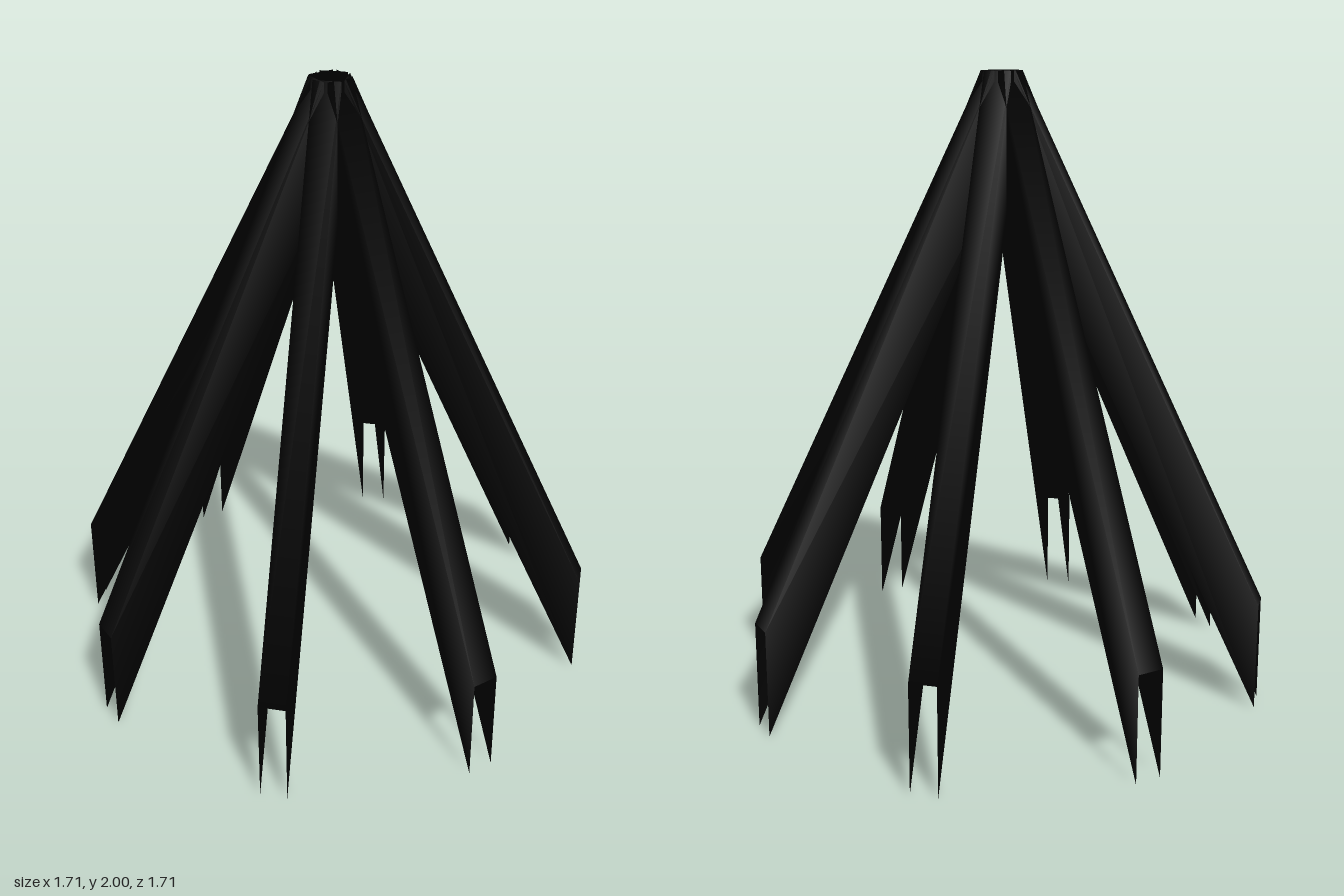
import * as THREE from 'three';

const ARMS = 8;
const HALF_WIDTH = 0.0425;
const DEPTH = 0.345; // vertical height of the side webs
const INNER = { r: 0.05, y: 2 };
const OUTER = { r: 0.853, y: DEPTH };

// Sloping sheet folded into an upside-down U: side web, top plate, side web.
function channelGeometry() {
  const geometry = new THREE.PlaneGeometry(1, 1, 3, 1);
  const pos = geometry.attributes.position;
  for (let i = 0; i < pos.count; i++) {
    const column = i % 4;
    const end = i < 4 ? INNER : OUTER;
    const x = column < 2 ? -HALF_WIDTH : HALF_WIDTH;
    const drop = column === 0 || column === 3 ? DEPTH : 0;
    pos.setXYZ(i, x, end.y - drop, end.r);
  }
  geometry.computeVertexNormals();
  return geometry;
}

export function createModel() {
  const model = new THREE.Group();
  model.name = 'radialFrame';
  const material = new THREE.MeshStandardMaterial({ color: 0x000000, side: THREE.DoubleSide });
  const geometry = channelGeometry();

  // Eight equal rafters around a small open octagon at the peak
  for (let i = 0; i < ARMS; i++) {
    const rafter = new THREE.Mesh(geometry, material);
    rafter.name = `rafter${i + 1}`;
    rafter.rotation.y = (i / ARMS) * Math.PI * 2;
    model.add(rafter);
  }
  return model;
}
